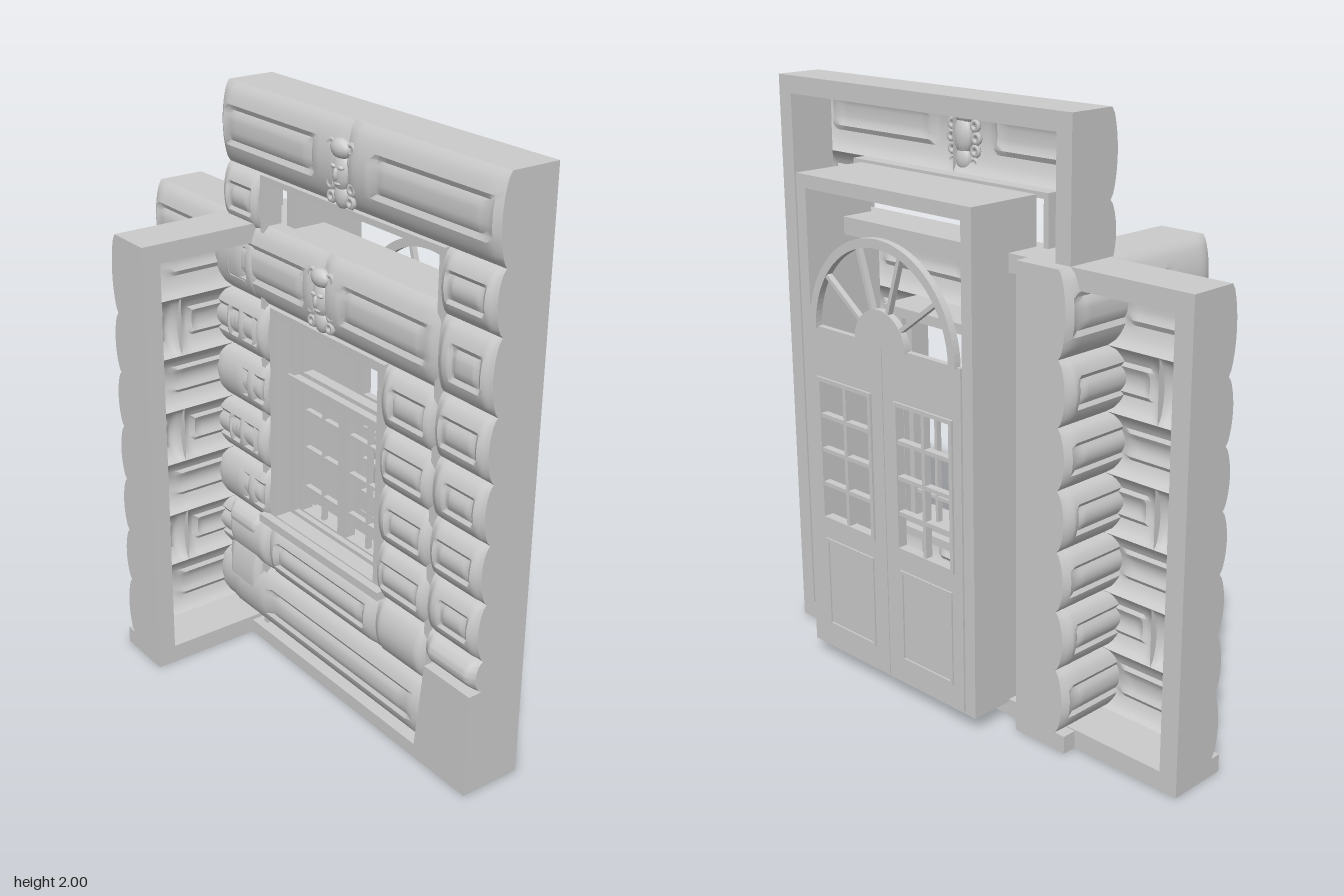
import * as THREE from 'three';
import { toCreasedNormals } from 'three/addons/utils/BufferGeometryUtils.js';

const mat = new THREE.MeshStandardMaterial({ color: 0xcccccc });
const shell = new THREE.MeshStandardMaterial({ color: 0xcccccc, side: THREE.DoubleSide });

function add(parent, name, geo, m = mat) {
  const mesh = new THREE.Mesh(geo, m);
  mesh.name = name;
  parent.add(mesh);
  return mesh;
}

function box(parent, name, x0, x1, y0, y1, z0, z1) {
  const b = add(parent, name, new THREE.BoxGeometry(x1 - x0, y1 - y0, z1 - z0));
  b.position.set((x0 + x1) / 2, (y0 + y1) / 2, (z0 + z1) / 2);
  return b;
}

function rect(C, x0, x1, y0, y1) {
  const s = new C();
  s.moveTo(x0, y0).lineTo(x1, y0).lineTo(x1, y1).lineTo(x0, y1).closePath();
  return s;
}

// Flat plate with rectangular holes, running from z0 to z1
function plate(parent, name, outer, holes, z0, z1) {
  const s = rect(THREE.Shape, ...outer);
  holes.forEach(h => s.holes.push(rect(THREE.Path, ...h)));
  return add(parent, name, new THREE.ExtrudeGeometry(s, { depth: z1 - z0, bevelEnabled: false }).translate(0, 0, z0));
}

const ring = (parent, name, x0, x1, y0, y1, t, z0, z1) =>
  plate(parent, name, [x0, x1, y0, y1], [[x0 + t, x1 - t, y0 + t, y1 - t]], z0, z1);

// Pillowed stone block; panel = [x0, x1] of an inset field
const BASE = -0.05;
function stone(parent, x0, x1, y0, y1, panel) {
  const nx = 30, ny = 16, w = x1 - x0, h = y1 - y0;
  const geo = new THREE.PlaneGeometry(1, 1, nx, ny);
  const p = geo.attributes.position, step = THREE.MathUtils.smoothstep;
  for (let i = 0; i < p.count; i++) {
    const col = i % (nx + 1), v = p.getY(i) + 0.5;
    const u = THREE.MathUtils.clamp((col - 1) / (nx - 2), 0, 1);
    const x = x0 + w * u, y = y0 + h * v;
    const edge = 0.6 + 0.4 * step(Math.min(u, 1 - u) * w, 0, 0.035);
    let z = BASE + 0.046 * Math.pow(Math.max(0, Math.sin(Math.PI * v)), 0.6) * edge;
    if (panel) {
      const d = Math.min(x - panel[0], panel[1] - x, y - y0 - h * 0.27, y1 - h * 0.27 - y);
      z -= 0.012 * step(d, -0.006, 0.008) - 0.007 * step(d, 0.014, 0.028);
    }
    if (col === 0 || col === nx) z = BASE; // closes the block's ends
    p.setXYZ(i, x, y, z);
  }
  add(parent, 'stoneBlock', toCreasedNormals(geo, 0.7), shell);
}

const ROWS = [0.06, 0.28, 0.48, 0.68, 0.88, 1.08, 1.29, 1.56];

// Rusticated wall with an open back; every second course is split
function solidWall(name, x0, x1, split) {
  const g = new THREE.Group();
  g.name = name;
  ring(g, 'wallFrame', x0, x1, 0, 1.56, 0.065, -0.22, BASE);
  box(g, 'plinth', x0, x1, 0, 0.06, BASE, -0.01);
  for (let r = 0; r < 7; r++) {
    const y0 = ROWS[r], y1 = ROWS[r + 1];
    if (r % 2 === 0) stone(g, x0, x1, y0, y1, [x0 + 0.03, x0 + (x1 - x0) * 0.68]);
    else {
      stone(g, x0, split, y0, y1, [x0 + 0.05, split - 0.05]);
      stone(g, split, x1, y0, y1, [split + 0.05, x1 - 0.05]);
    }
  }
  return g;
}

// Carved keystone head with hair, beard and side curls
function keystone(parent, x, y) {
  const g = new THREE.Group();
  g.name = 'carvedKeystone';
  g.position.set(x, y, -0.03);
  parent.add(g);
  const ball = (name, bx, by, bz, sx, sy, sz) => {
    const b = add(g, name, new THREE.SphereGeometry(1, 12, 8));
    b.position.set(bx, by, bz);
    b.scale.set(sx, sy, sz);
    return b;
  };
  ball('face', 0, 0.005, 0.01, 0.04, 0.062, 0.026);
  ball('nose', 0, 0.0, 0.034, 0.008, 0.02, 0.01);
  ball('mouth', 0, -0.03, 0.028, 0.016, 0.006, 0.007);
  ball('beard', 0, -0.07, 0.008, 0.034, 0.04, 0.02);
  ball('crown', 0, 0.075, 0.014, 0.045, 0.032, 0.026);
  for (const s of [-1, 1]) {
    ball('brow', s * 0.017, 0.022, 0.03, 0.014, 0.007, 0.008);
    for (let i = 0; i < 5; i++) {
      const curl = add(g, 'curl', new THREE.TorusGeometry(0.014, 0.009, 6, 10));
      curl.position.set(s * (0.056 - 0.005 * Math.abs(i - 2)), 0.08 - i * 0.04, 0.012);
    }
  }
}

function windowWall() {
  const g = new THREE.Group();
  g.name = 'windowWall';
  const L = -0.44, R = 0.66, a = -0.19, b = 0.41;
  ring(g, 'wallFrame', L, R, 0, 1.56, 0.06, -0.22, BASE);
  box(g, 'plinth', L, R, 0, 0.05, BASE, 0);
  stone(g, L, R, 0.05, 0.28, [-0.18, 0.6]);
  stone(g, L, a, 0.28, 0.48);
  stone(g, a, b, 0.28, 0.48, [-0.14, 0.36]);
  stone(g, b, R, 0.28, 0.48);
  for (let r = 2; r < 6; r++) {
    const inset = r % 2 ? 0.05 : 0.02;
    stone(g, L, a, ROWS[r], ROWS[r + 1], [L + 0.04, a - inset]);
    stone(g, b, R, ROWS[r], ROWS[r + 1], [b + inset, R - 0.04]);
  }
  stone(g, L, 0.11, 1.29, 1.56, [-0.4, 0.02]);
  stone(g, 0.11, R, 1.29, 1.56, [0.21, 0.62]);
  keystone(g, 0.11, 1.41);
  // Window reveal, sill, sashes and glazing bars
  ring(g, 'windowReveal', a, b, 0.49, 1.29, 0.03, -0.2, -0.03);
  ring(g, 'windowFrame', a + 0.02, b - 0.02, 0.5, 1.28, 0.035, -0.17, -0.09);
  box(g, 'sill', a - 0.03, b + 0.03, 0.485, 0.515, -0.1, 0);
  box(g, 'transom', a + 0.03, b - 0.03, 1.02, 1.05, -0.17, -0.08);
  ring(g, 'upperSash', -0.135, 0.355, 1.04, 1.26, 0.025, -0.15, -0.11);
  for (const s of [-1, 1]) {
    const c = 0.11 + s * 0.122;
    ring(g, 'sash', c - 0.12, c + 0.12, 0.52, 1.03, 0.022, -0.15, -0.11);
    box(g, 'glazingBar', c - 0.006, c + 0.006, 0.53, 1.02, -0.14, -0.12);
    for (const y of [0.63, 0.78, 0.92]) box(g, 'glazingBar', c - 0.11, c + 0.11, y - 0.006, y + 0.006, -0.14, -0.12);
  }
  return g;
}

function doorWall() {
  const g = new THREE.Group();
  g.name = 'doorWall';
  const L = -0.44, R = 0.89, a = -0.24, b = 0.66;
  ring(g, 'wallFrame', L, R, 0, 2, 0.06, -0.22, BASE);
  const rows = [0.06, 0.37, 0.48, 0.68, 0.88, 1.08, 1.29, 1.53, 1.73];
  for (let r = 0; r < 8; r++) {
    const inset = r % 2 ? 0.03 : 0.06;
    const panel = r > 1;
    stone(g, L, a, rows[r], rows[r + 1], panel && [L + 0.04, a - inset]);
    if (r) stone(g, b, R, rows[r], rows[r + 1], panel && [b + inset, R - 0.04]);
  }
  // Tapered foot block
  const foot = new THREE.Shape([[0.64, 0], [0.89, 0], [0.89, 0.37], [0.68, 0.37]].map(q => new THREE.Vector2(...q)));
  add(g, 'footBlock', new THREE.ExtrudeGeometry(foot, { depth: 0.05, bevelEnabled: false }).translate(0, 0, BASE));
  const mid = (L + R) / 2;
  stone(g, L, mid, 1.73, 2, [-0.4, 0.07]);
  stone(g, mid, R, 1.73, 2, [0.35, 0.86]);
  keystone(g, 0.205, 1.84);
  ring(g, 'openingLining', a, b, 0.02, 1.73, 0.02, -0.1, -0.03);
  // Deep door casing
  ring(g, 'doorCasing', -0.19, 0.62, 0.05, 1.72, 0.045, -0.375, -0.1);
  g.add(door());
  return g;
}

function door() {
  const g = new THREE.Group();
  g.name = 'doubleDoor';
  const c = 0.215, zf = -0.36, zb = -0.39, y0 = 0.55, y1 = 1.04;
  const panes = [-1, 1].map(s => [c + s * 0.19 - 0.123, c + s * 0.19 + 0.123]);
  for (const [i, [p0, p1]] of panes.entries()) {
    const x0 = i ? c + 0.002 : -0.145, x1 = i ? 0.575 : c - 0.002;
    plate(g, 'doorLeaf', [x0, x1, 0.06, 1.225], [[p0, p1, y0, y1]], zb + 0.008, zf);
    ring(g, 'paneMoulding', p0 - 0.012, p1 + 0.012, y0 - 0.012, y1 + 0.012, 0.014, zb, zf + 0.005);
    const m = (p0 + p1) / 2;
    box(g, 'doorBar', m - 0.007, m + 0.007, y0, y1, zb + 0.004, zf);
    for (let k = 1; k < 4; k++) {
      const y = y0 + (y1 - y0) * k / 4;
      box(g, 'doorBar', p0, p1, y - 0.007, y + 0.007, zb + 0.004, zf);
    }
    ring(g, 'lowerPanel', p0, p1, 0.14, 0.47, 0.012, zb + 0.002, zf + 0.004);
  }
  // Half-round fanlight with a central disc and spokes
  const fan = new THREE.Group();
  fan.name = 'fanlight';
  fan.position.set(c, 1.22, zb);
  g.add(fan);
  const ro = 0.345, ri = 0.315, opts = { depth: 0.025, bevelEnabled: false, curveSegments: 24 };
  const arch = new THREE.Shape();
  arch.absarc(0, 0, ro, 0, Math.PI, false);
  arch.absarc(0, 0, ri, Math.PI, 0, true);
  add(fan, 'arch', new THREE.ExtrudeGeometry(arch, opts));
  const hub = new THREE.Shape();
  hub.absarc(0, 0, 0.12, 0, Math.PI, false);
  add(fan, 'hub', new THREE.ExtrudeGeometry(hub, opts));
  for (let i = 1; i < 5; i++) {
    const t = Math.PI * i / 5;
    const spoke = add(fan, 'spoke', new THREE.BoxGeometry(0.22, 0.014, 0.02));
    spoke.position.set(Math.cos(t) * 0.215, Math.sin(t) * 0.215, 0.0125);
    spoke.rotation.z = t;
  }
  return g;
}

export function createModel() {
  const model = new THREE.Group();
  model.name = 'facadeSections';
  model.add(solidWall('sideWall', -0.89, -0.3, -0.64), windowWall(), doorWall());
  // Short wall standing at right angles, stones facing -x
  const cross = solidWall('crossWall', -0.27, 0.4, 0.16);
  cross.rotation.y = -Math.PI / 2;
  cross.position.x = -0.49;
  model.add(cross);
  return model;
}
